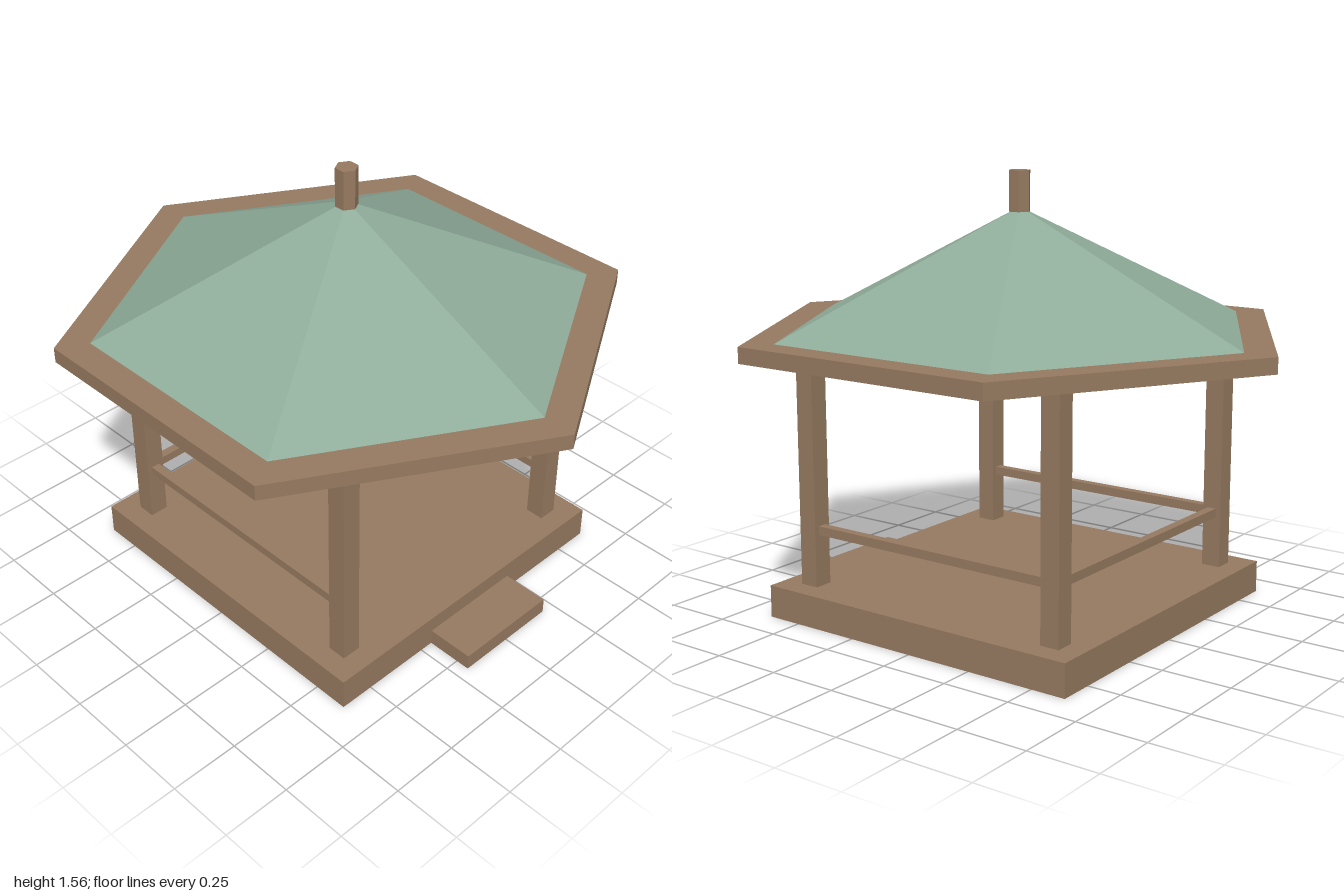
import * as THREE from 'three';

const wood = new THREE.MeshStandardMaterial({ color: 0x967a60, flatShading: true });
const green = new THREE.MeshStandardMaterial({ color: 0x8fac9a, flatShading: true });

export function createModel() {
  const model = new THREE.Group();
  model.name = 'gazebo';

  const add = (name, geometry, material, x, y, z) => {
    const mesh = new THREE.Mesh(geometry, material);
    mesh.name = name;
    mesh.position.set(x, y, z);
    model.add(mesh);
  };
  // Box resting on height y0
  const box = (name, w, y0, y1, d, x = 0, z = 0) =>
    add(name, new THREE.BoxGeometry(w, y1 - y0, d), wood, x, (y0 + y1) / 2, z);
  // Six-sided prism or frustum, corners pointing along z
  const hex = (name, rTop, rBottom, y0, y1, material) =>
    add(name, new THREE.CylinderGeometry(rTop, rBottom, y1 - y0, 6), material, 0, (y0 + y1) / 2, 0);

  // Floor and front step
  box('floor', 1.256, 0, 0.116, 1.256);
  box('step', 0.4, 0, 0.058, 0.172, 0, 0.714);

  // Corner posts
  const p = 0.515;
  for (const x of [-p, p])
    for (const z of [-p, p]) box('post', 0.07, 0.116, 0.96, 0.07, x, z);

  // Rails on the back and both sides, front left open
  box('backRail', 0.96, 0.303, 0.335, 0.032, 0, -p);
  for (const x of [-p, p]) box('sideRail', 0.032, 0.303, 0.335, 0.96, x, 0);

  // Hexagonal roof
  hex('eaves', 1, 1, 0.96, 1.016, wood);
  hex('roof', 0.03, 0.88, 1.016, 1.42, green);
  hex('finial', 0.04, 0.04, 1.418, 1.56, wood);

  return model;
}
